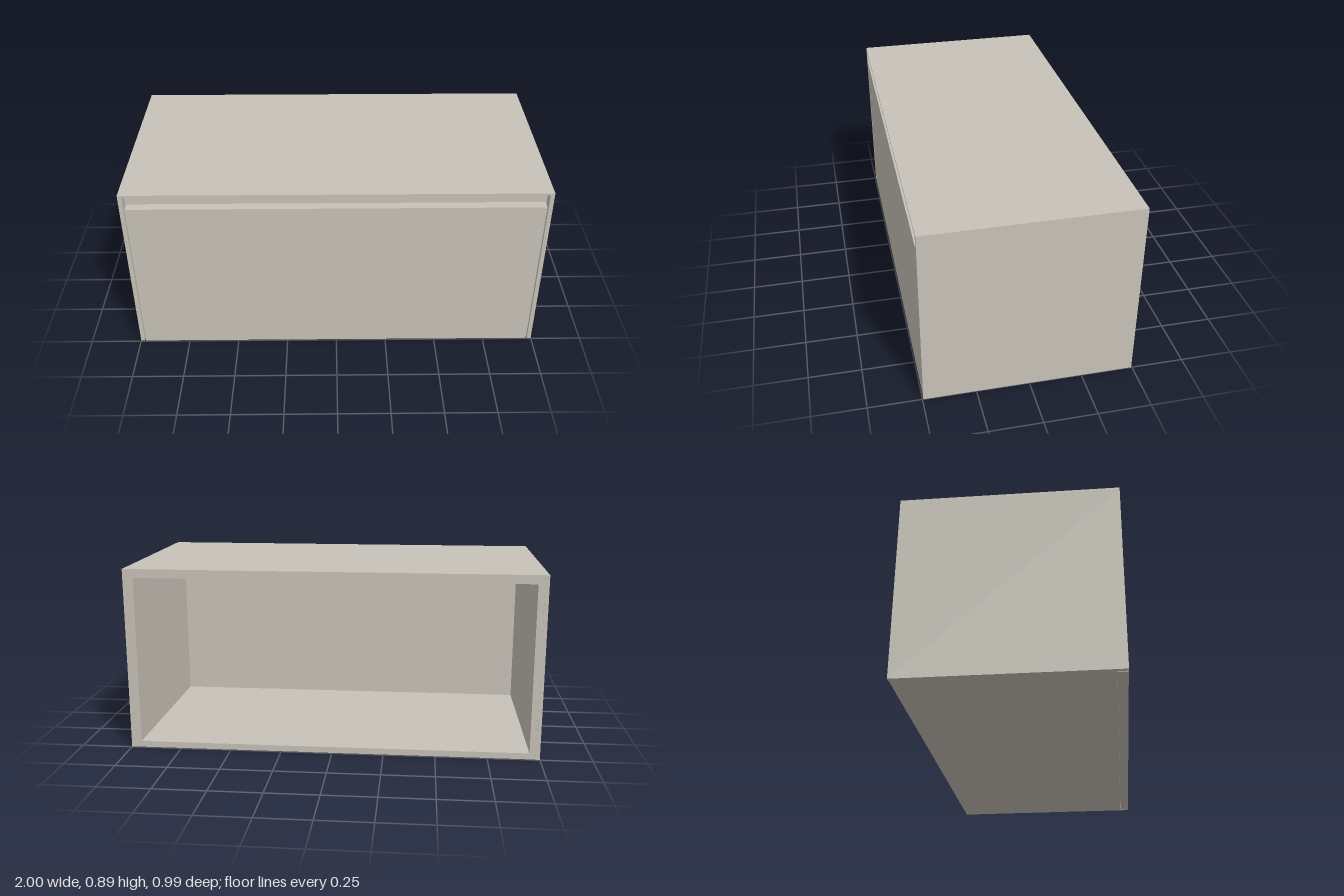
import * as THREE from 'three';

const H = 0.893;   // overall height
const D = 0.496;   // half depth
const TOP = 0.883; // underside of the worktop

export function createModel() {
  const group = new THREE.Group();
  const lacquer = new THREE.MeshStandardMaterial({ color: 0xc8c3b9 });
  lacquer.name = 'warm grey lacquer';

  // box given by its two opposite corners
  const panel = (name, x0, x1, y0, y1, z0, z1) => {
    const mesh = new THREE.Mesh(new THREE.BoxGeometry(x1 - x0, y1 - y0, z1 - z0), lacquer);
    mesh.position.set((x0 + x1) / 2, (y0 + y1) / 2, (z0 + z1) / 2);
    mesh.name = name;
    group.add(mesh);
  };

  // thin worktop over everything
  panel('worktop', -1, 1, TOP, H, -D, D);

  // outer cladding and inner carcass wall, both sides
  for (const [side, s] of [['left', 1], ['right', -1]]) {
    const span = (a, b) => (s > 0 ? [a, b] : [-b, -a]);
    panel(side + 'Cladding', ...span(0.98, 1), 0, TOP, -D, D);
    panel(side + 'CarcassWall', ...span(0.95, 0.98), 0, TOP, -D + 0.002, 0.449);
  }

  // carcass floor and ceiling; the back stays open
  panel('carcassFloor', -0.95, 0.95, 0, 0.03, -D + 0.002, 0.449);
  panel('carcassCeiling', -0.95, 0.95, TOP - 0.033, TOP, -D + 0.002, 0.449);

  // grip rail behind the finger gap
  panel('gripRail', -0.98, 0.98, 0.72, TOP, 0.36, 0.45);

  // drawer front between the claddings
  panel('drawerFront', -0.975, 0.975, 0, 0.815, 0.45, D - 0.001);

  return group;
}
